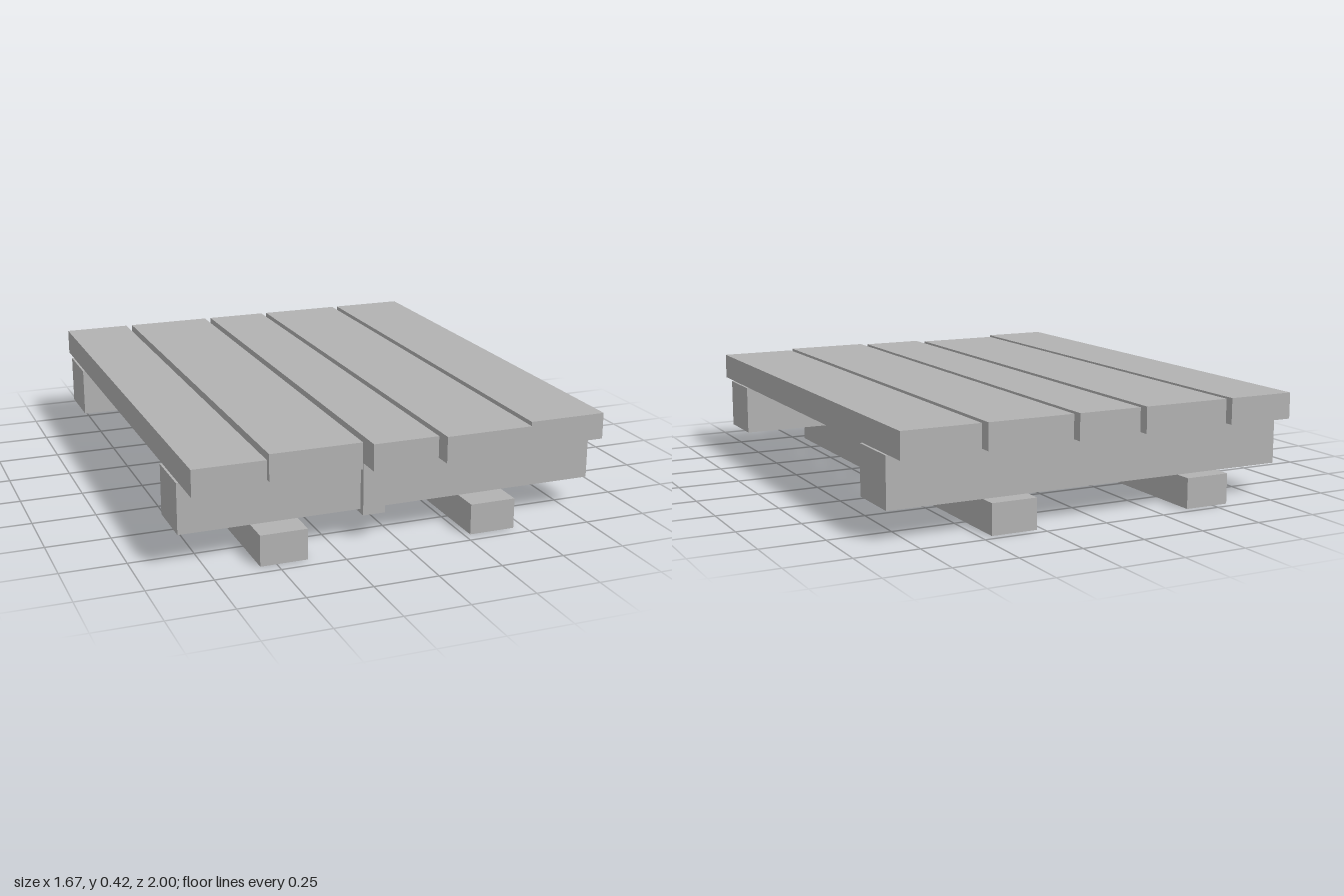
import * as THREE from 'three';

export function createModel() {
  const group = new THREE.Group();
  const grey = new THREE.MeshStandardMaterial({ color: 0xb2b2b2 });
  grey.name = 'plain grey';

  // Box given by its lower and upper limit on each axis
  const board = (name, [x0, x1], [y0, y1], [z0, z1]) => {
    const mesh = new THREE.Mesh(new THREE.BoxGeometry(x1 - x0, y1 - y0, z1 - z0), grey);
    mesh.position.set((x0 + x1) / 2, (y0 + y1) / 2, (z0 + z1) / 2);
    mesh.name = name;
    group.add(mesh);
  };

  // Deck planks: flush at the back, uneven at the front
  const planks = [
    [-0.826, -0.551, 1],
    [-0.524, -0.167, 0.945],
    [-0.139, 0.118, 0.98],
    [0.143, 0.488, 1],
    [0.513, 0.823, 0.955],
  ];
  planks.forEach(([x0, x1, front], i) =>
    board(`deckPlank${i + 1}`, [x0, x1], [0.317, 0.42], [-1, front]));

  // Cross beams under the deck
  board('backBeam', [-0.835, 0.833], [0.12, 0.317], [-0.898, -0.665]);
  board('frontBeam', [-0.835, 0.833], [0.12, 0.317], [0.625, 0.84]);

  // Band wrapped around the front beam
  board('beamBand', [-0.13, -0.042], [0.103, 0.316], [0.61, 0.866]);

  // Ground runners
  board('rightRunner', [-0.563, -0.38], [0, 0.12], [-0.967, 0.95]);
  board('leftRunner', [0.274, 0.457], [0, 0.12], [-0.967, 0.95]);

  return group;
}
